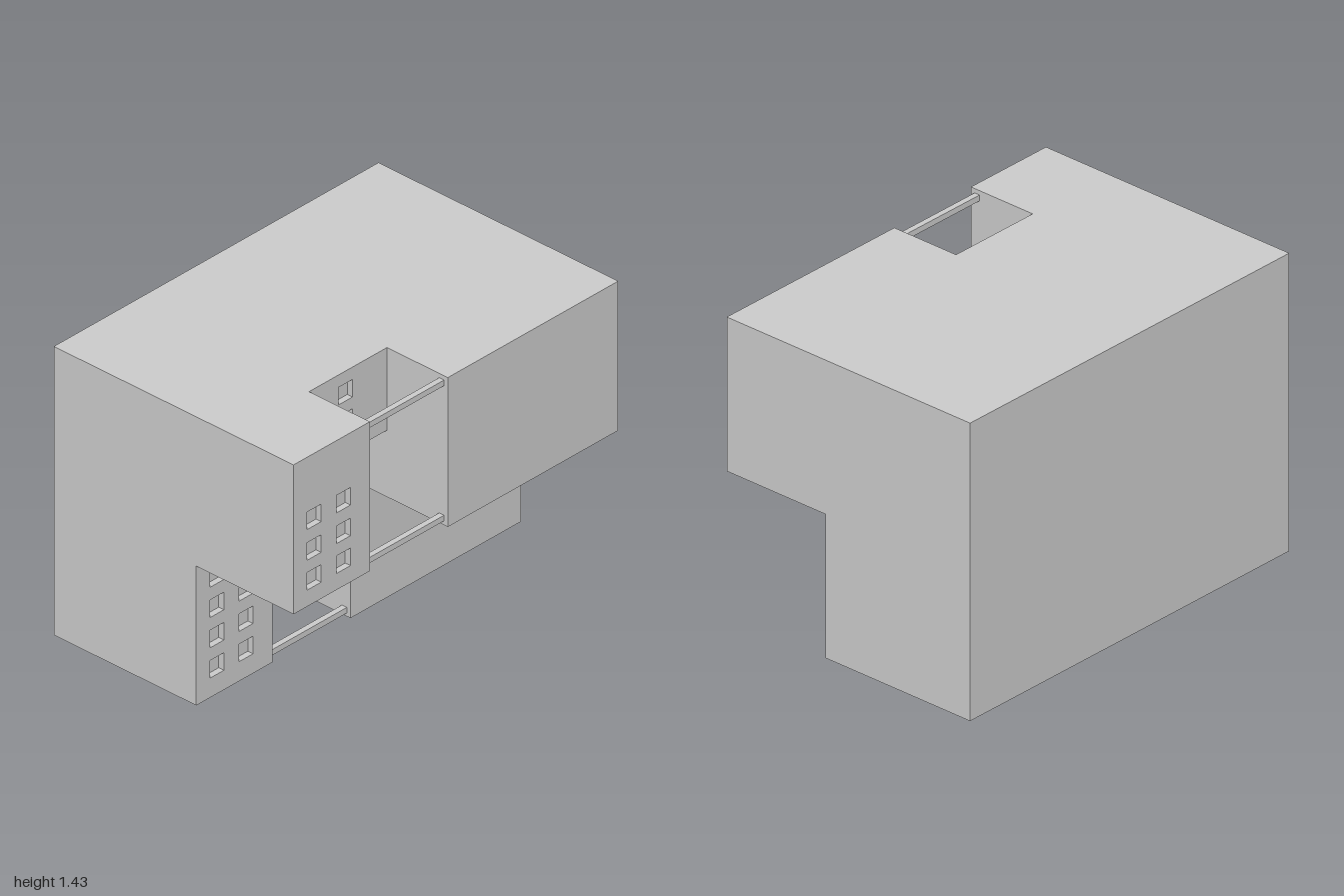
import * as THREE from 'three';

const material = new THREE.MeshStandardMaterial({ color: 0xcccccc });
const H = 1.43, MID = 0.69, LEFT = -0.69; // total height, overhang height, flat side
const UPPER = 0.69, LOWER = 0.13; // x of the upper and lower facades
const Z0 = 0.05, Z1 = 0.53; // courtyard slot along z
const DEPTH = 0.03, WIN = 0.087; // window recess and size

function add(group, name, geometry) {
  const mesh = new THREE.Mesh(geometry, material);
  mesh.name = name;
  group.add(mesh);
  return mesh;
}

// Solid slice of the building: an x-y outline extruded from z0 to z1
function slice(group, name, outline, z0, z1) {
  const shape = new THREE.Shape(outline.map(([x, y]) => new THREE.Vector2(x, y)));
  const geometry = new THREE.ExtrudeGeometry(shape, { depth: z1 - z0, bevelEnabled: false });
  add(group, name, geometry.translate(0, 0, z0));
}

function rectangle(Type, z0, z1, y0, y1) {
  return new Type([[-z1, y0], [-z0, y0], [-z0, y1], [-z1, y1]].map(([a, b]) => new THREE.Vector2(a, b)));
}

// Wall layer facing +x, pierced by windows given as [z, y, width]
function facade(group, name, x, z0, z1, y0, y1, windows) {
  const shape = rectangle(THREE.Shape, z0, z1, y0, y1);
  for (const [z, y, w = WIN] of windows) {
    shape.holes.push(rectangle(THREE.Path, z - w / 2, z + w / 2, y - WIN / 2, y + WIN / 2));
  }
  const geometry = new THREE.ExtrudeGeometry(shape, { depth: DEPTH, bevelEnabled: false });
  add(group, name, geometry.rotateY(Math.PI / 2).translate(x - DEPTH, 0, 0));
}

const windowGrid = (zs, ys) => zs.flatMap((z) => ys.map((y) => [z, y]));

// Outline whose upper storeys overhang the lower ones
const stepped = (lower, upper, step) => [
  [LEFT, 0], [lower, 0], [lower, step], [upper, step], [upper, H], [LEFT, H],
];

export function createModel() {
  const model = new THREE.Group();
  model.name = 'building';

  // Main masses; those behind facades are set back by the window depth
  slice(model, 'backWing', stepped(LOWER, UPPER, MID), -1, Z0);
  slice(model, 'courtyardCore', stepped(-0.28 - DEPTH, 0.34 - DEPTH, 1.02), Z0, Z1);
  slice(model, 'frontWing', stepped(LOWER - DEPTH, UPPER - DEPTH, MID), Z1, 1);

  // Front wing facades
  const columns = [0.873, 0.693];
  facade(model, 'upperFrontFacade', UPPER, Z1, 1, MID, H, windowGrid(columns, [1.115, 0.963, 0.815]));
  facade(model, 'lowerFrontFacade', LOWER, Z1, 1, 0, MID, windowGrid(columns, [0.59, 0.44, 0.29, 0.14]));

  // Courtyard facades, the lower one with a wide corner window
  facade(model, 'upperCourtyardFacade', 0.34, Z0, Z1, 1.02, H, windowGrid([0.305], [1.325, 1.18]));
  facade(model, 'lowerCourtyardFacade', -0.28, Z0, Z1, 0, 1.02, [
    ...windowGrid([0.305], [0.79, 0.64, 0.37, 0.222]), [0.131, 0.515, 0.156],
  ]);

  // Beams bridging the courtyard opening
  for (const [x, y] of [[0.655, 1.395], [0.655, 0.725], [0.095, 0.725], [0.095, 0.03]]) {
    add(model, 'beam', new THREE.BoxGeometry(0.028, 0.028, Z1 - Z0)).position.set(x, y, (Z0 + Z1) / 2);
  }
  return model;
}
